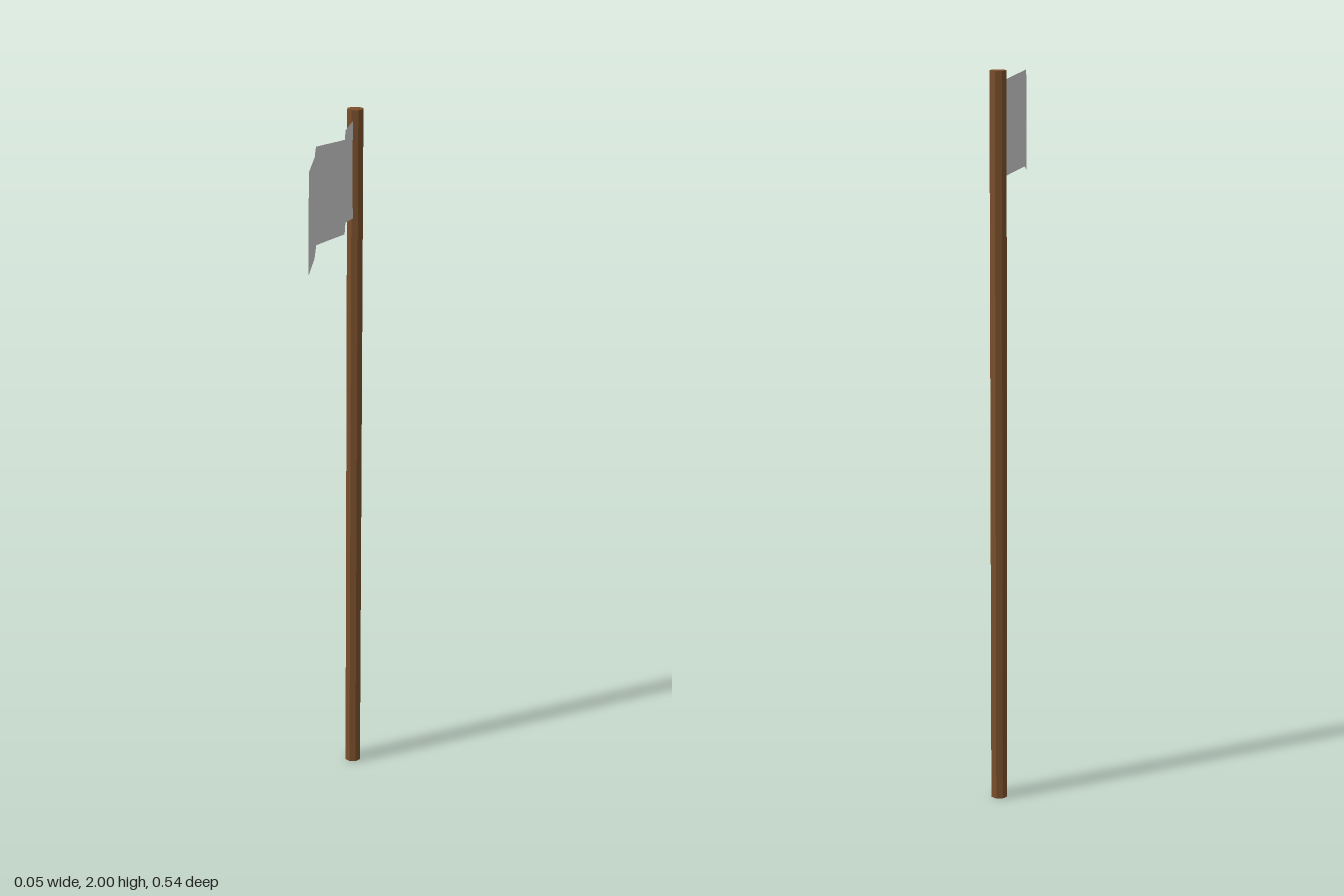
import * as THREE from 'three';

const POLE_Z = -0.247;

// Flag columns from pole to fly end: [x, z at top, y at top, z at bottom, y at bottom]
const COLUMNS = [
  [0, -0.222, 1.972, -0.224, 1.70],
  [0, -0.14, 1.964, -0.14, 1.71],
  [0.018, -0.06, 1.957, -0.06, 1.70],
  [0, 0.02, 1.965, 0.02, 1.706],
  [-0.018, 0.10, 1.973, 0.10, 1.711],
  [0, 0.18, 1.965, 0.185, 1.70],
  [0.006, 0.26, 1.945, 0.267, 1.678],
];

// Rippling cloth: a plane grid moved onto the columns
function createFlag() {
  const rows = 2;
  const geometry = new THREE.PlaneGeometry(1, 1, COLUMNS.length - 1, rows);
  const position = geometry.attributes.position;
  for (let r = 0; r <= rows; r++) {
    COLUMNS.forEach(([x, zTop, yTop, zBottom, yBottom], c) => {
      const t = r / rows;
      // the hoist edge bows slightly away from the pole between its two ties
      const bow = c === 0 ? 0.008 * Math.sin(Math.PI * t) : 0;
      position.setXYZ(
        r * COLUMNS.length + c,
        x,
        THREE.MathUtils.lerp(yTop, yBottom, t),
        THREE.MathUtils.lerp(zTop, zBottom, t) + bow,
      );
    });
  }
  geometry.computeVertexNormals();
  const flag = new THREE.Mesh(geometry, new THREE.MeshStandardMaterial({
    color: 0xcccccc, flatShading: true, side: THREE.DoubleSide,
  }));
  flag.name = 'flag';
  return flag;
}

// Eight-sided wooden pole
function createPole() {
  const geometry = new THREE.CylinderGeometry(0.0235, 0.0235, 2, 8, 1, false, -0.19);
  const pole = new THREE.Mesh(geometry, new THREE.MeshStandardMaterial({
    color: 0x7a4f2c, flatShading: true,
  }));
  pole.position.set(0, 1, POLE_Z);
  pole.name = 'pole';
  return pole;
}

export function createModel() {
  const group = new THREE.Group();
  group.name = 'flagOnPole';
  group.add(createPole(), createFlag());
  return group;
}
